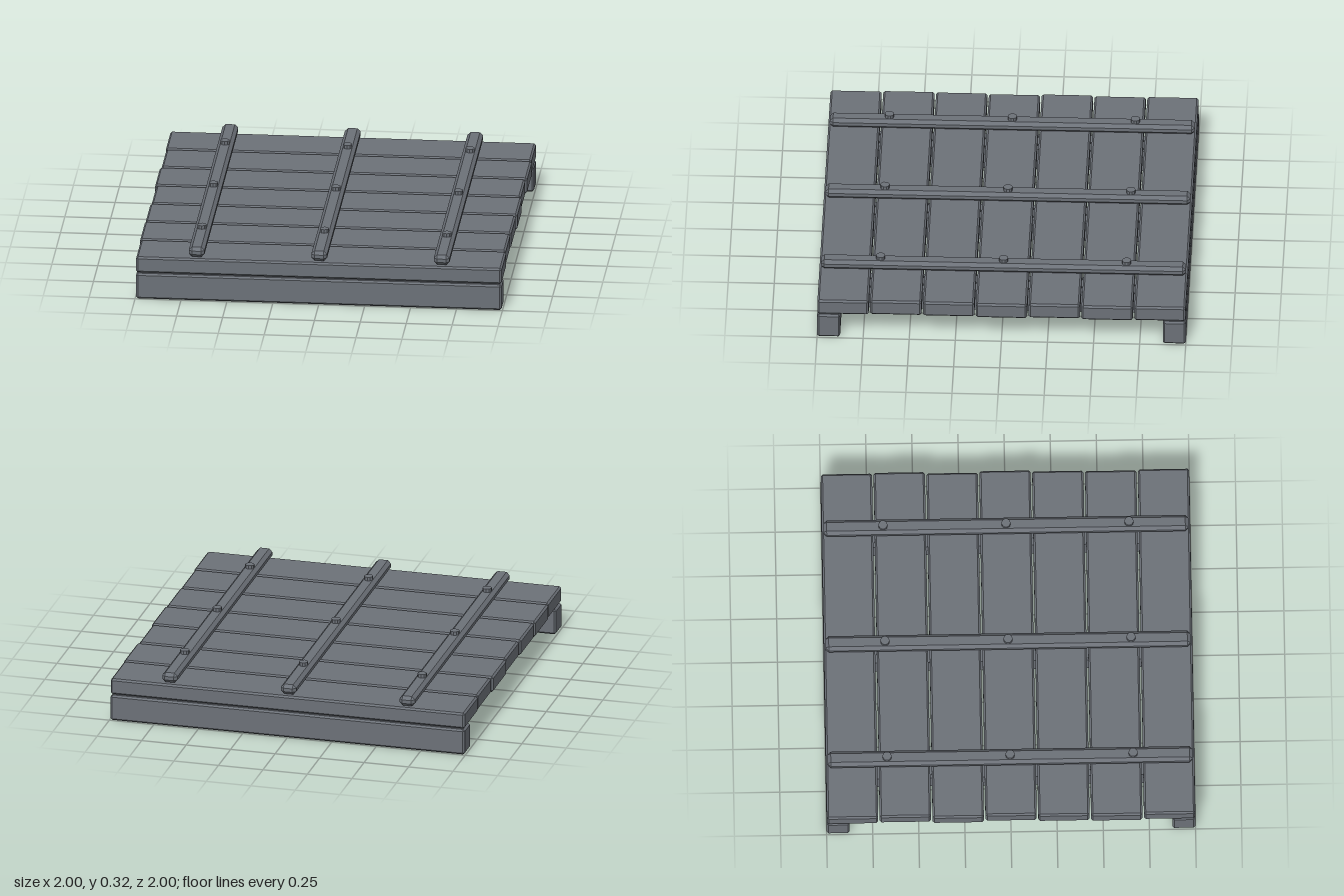
import * as THREE from 'three';
import { ConvexGeometry } from 'three/addons/geometries/ConvexGeometry.js';

// Box with every edge cut flat by c
function chamferedBox(w, h, d, c) {
  const points = [];
  const half = [w / 2, h / 2, d / 2];
  for (const sx of [-1, 1]) for (const sy of [-1, 1]) for (const sz of [-1, 1]) {
    for (let full = 0; full < 3; full++) {
      const p = half.map((v, i) => (i === full ? v : v - c));
      points.push(new THREE.Vector3(p[0] * sx, p[1] * sy, p[2] * sz));
    }
  }
  return new ConvexGeometry(points);
}

export function createModel() {
  const model = new THREE.Group();
  model.name = 'plankPlatform';
  const slate = new THREE.MeshStandardMaterial({ color: 0x6c7178, flatShading: true });
  slate.name = 'slateGrey';

  function add(name, geometry, x, y, z) {
    const mesh = new THREE.Mesh(geometry, slate);
    mesh.name = name;
    mesh.position.set(x, y, z);
    model.add(mesh);
  }

  // Beams under the front and back edges
  const beam = chamferedBox(1.99, 0.145, 0.125, 0.01);
  add('frontBeam', beam, 0, 0.0725, 0.9375);
  add('backBeam', beam, 0, 0.0725, -0.9375);

  // Deck planks, each shifted a hair sideways
  const plank = chamferedBox(1.99, 0.09, 0.278, 0.01);
  const shift = [0, 0.004, -0.004, 0.004, -0.002, -0.005, 0];
  shift.forEach((dx, i) => add('deckPlank', plank, dx, 0.195, (i - 3) * 0.2865));

  // Joists below, rails above and the bolts in the rails
  const joist = new THREE.BoxGeometry(0.14, 0.13, 1.76);
  const rail = chamferedBox(0.086, 0.056, 1.98, 0.018);
  const bolt = new THREE.CylinderGeometry(0.025, 0.025, 0.04, 10);
  for (const x of [-0.667, 0, 0.667]) {
    add('joist', joist, x, 0.087, 0);
    add('rail', rail, x, 0.272, 0);
    for (const z of [-0.667, 0, 0.667]) add('bolt', bolt, x, 0.3, z);
  }
  return model;
}
